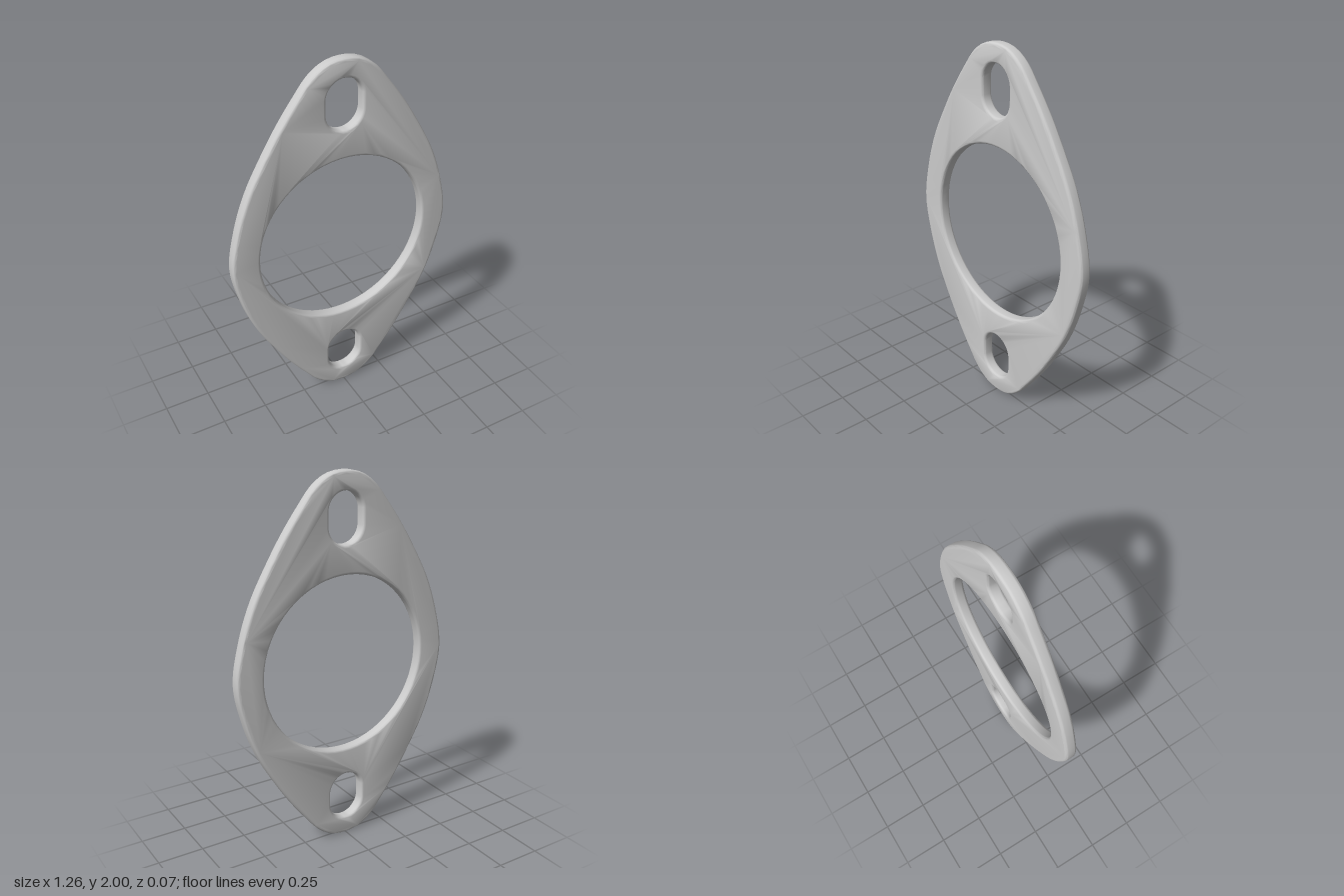
import * as THREE from 'three';
import { toCreasedNormals } from 'three/addons/utils/BufferGeometryUtils.js';

const DEPTH = 0.066, BEVEL = 0.016;

// Upper right quarter of the rim, measured from the plate centre
const QUARTER = [[0.63, 0], [0.595, 0.2], [0.525, 0.4], [0.415, 0.6], [0.335, 0.725],
  [0.25, 0.84], [0.17, 0.935], [0.09, 0.985], [0, 1]];

// Mirror the quarter into a closed smooth outline
function rimPoints() {
  const half = [...QUARTER, ...QUARTER.slice(0, -1).reverse().map(([x, y]) => [-x, y])];
  const all = [...half, ...half.slice(1, -1).reverse().map(([x, y]) => [x, -y])];
  const curve = new THREE.CatmullRomCurve3(
    all.map(([x, y]) => new THREE.Vector3(x, y, 0)), true, 'centripetal');
  return curve.getSpacedPoints(128).slice(0, -1).map(p => new THREE.Vector2(p.x, p.y));
}

// Rounded slot or circle: two half rounds of radius r, their centres 2 * straight apart
function slotPath(cy, r, straight, n) {
  const pts = [];
  for (let i = 0; i < n; i++) {
    const a = ((i + 0.5) / n) * Math.PI * 2;
    pts.push(new THREE.Vector2(r * Math.cos(a), cy + r * Math.sin(a) + straight * Math.sign(Math.sin(a))));
  }
  return new THREE.Path(pts);
}

export function createModel() {
  const group = new THREE.Group();
  group.name = 'flangeGasket';

  // Plate with a central bore and a bolt slot at each end
  const shape = new THREE.Shape(rimPoints());
  shape.holes.push(slotPath(0, 0.48, 0, 64));
  for (const s of [1, -1]) shape.holes.push(slotPath(s * 0.767, 0.1, 0.034, 32));

  const geometry = new THREE.ExtrudeGeometry(shape, {
    depth: DEPTH - 2 * BEVEL, bevelEnabled: true, bevelThickness: BEVEL,
    bevelSize: BEVEL, bevelOffset: -BEVEL, bevelSegments: 4, curveSegments: 1
  });
  geometry.translate(0, 1, -(DEPTH / 2 - BEVEL));

  const plate = new THREE.Mesh(toCreasedNormals(geometry, 0.6),
    new THREE.MeshStandardMaterial({ color: 0xcccccc }));
  plate.name = 'plate';
  group.add(plate);
  return group;
}
